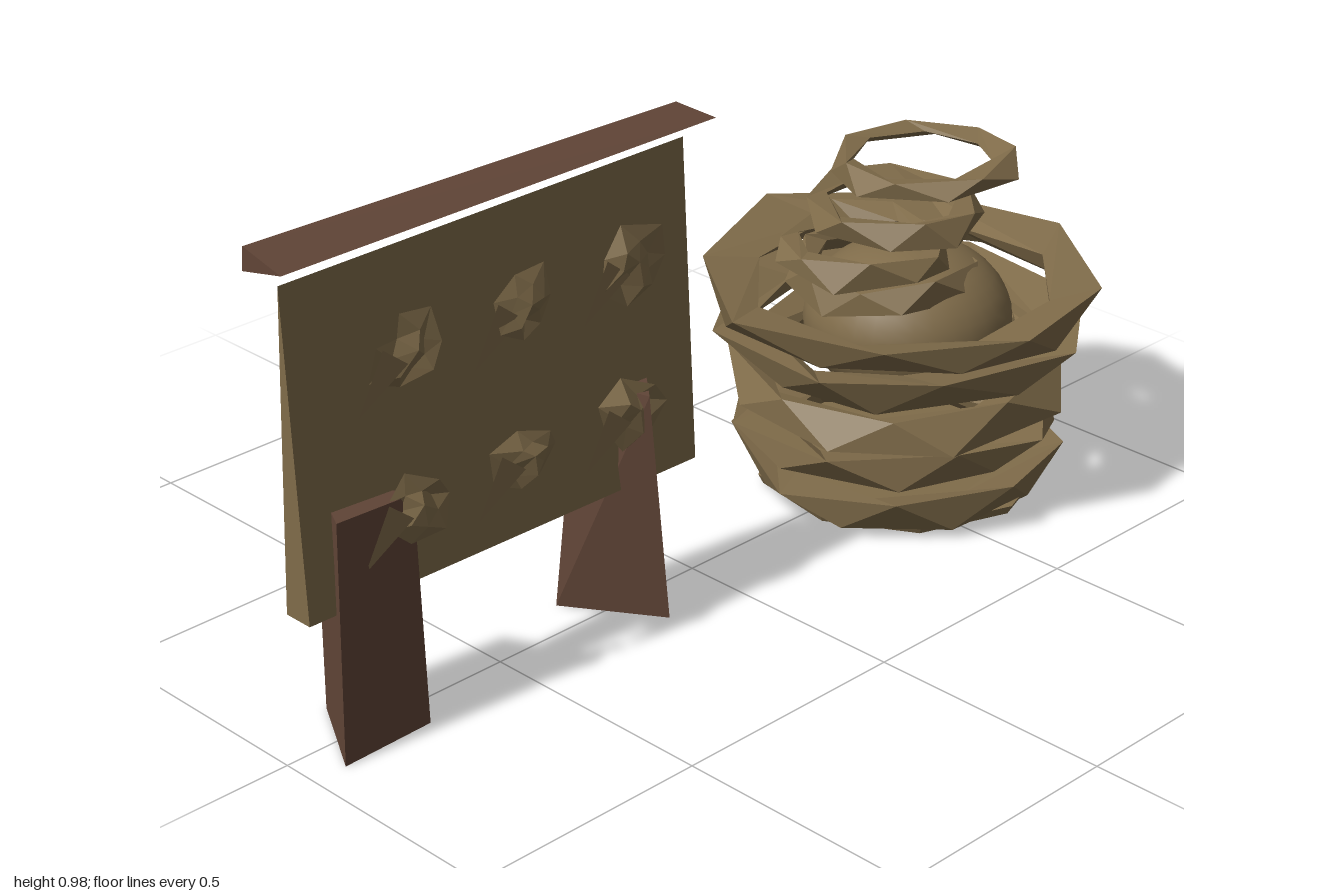
import * as THREE from 'three';

const olive = new THREE.MeshStandardMaterial({ color: 0x806c4a, side: THREE.DoubleSide });
olive.name = 'dry straw';
const brown = new THREE.MeshStandardMaterial({ color: 0x614537, side: THREE.DoubleSide });
brown.name = 'dark wood';

function seeded(seed) {
  let s = seed * 7919 + 17;
  return () => {
    s = (s * 16807) % 2147483647;
    return s / 2147483647;
  };
}

// Flat-shaded mesh from points and a face list.
function facetMesh(name, points, faces, material) {
  const g = new THREE.BufferGeometry();
  g.setAttribute('position', new THREE.Float32BufferAttribute(points.flat(), 3));
  g.setIndex(faces.flat());
  const flat = g.toNonIndexed();
  flat.computeVertexNormals();
  const mesh = new THREE.Mesh(flat, material);
  mesh.name = name;
  return mesh;
}

// Solid with a triangular section that changes from one end to the other.
function wedge(name, startTri, endTri, material) {
  const faces = [[0, 2, 1], [3, 4, 5]];
  for (let i = 0; i < 3; i++) {
    const j = (i + 1) % 3;
    faces.push([i, j, j + 3], [i, j + 3, i + 3]);
  }
  return facetMesh(name, [...startTri, ...endTri], faces, material);
}

// Uneven woven hoop with a three-cornered section.
function band(name, { x, z, low, high, rLow, rHigh, sides, seed, inner = 0.84 }) {
  const rnd = seeded(seed);
  const phase = rnd() * 6.28;
  const h = high - low;
  const points = [];
  const faces = [];
  const put = (a, r, y) => points.push([x + Math.cos(a) * r, y, z - Math.sin(a) * r]);
  for (let i = 0; i < sides; i++) {
    const step = (Math.PI * 2) / sides;
    const a = phase + (i + (rnd() - 0.5) * 0.3) * step;
    put(a, rLow * (0.95 + rnd() * 0.08), low + rnd() * h * 0.32);
    put(a + step * 0.45, rHigh * (0.95 + rnd() * 0.08), high - rnd() * h * 0.32);
    put(a + step * 0.2, Math.min(rLow, rHigh) * inner * (0.95 + rnd() * 0.1), low + h * (0.45 + rnd() * 0.25));
    const b = i * 3;
    const c = ((i + 1) % sides) * 3;
    for (let k = 0; k < 3; k++) {
      const m = (k + 1) % 3;
      faces.push([b + k, c + k, b + m], [c + k, c + m, b + m]);
    }
  }
  return facetMesh(name, points, faces, olive);
}

// Crumpled rosette with a pointed tail, fixed to the front of the board.
function rosette(x, y, seed) {
  const rnd = seeded(seed);
  const group = new THREE.Group();
  group.name = 'rosette';
  const n = 7;
  const points = [[0, 0.01, 0.02], [0, 0, -0.02]];
  const faces = [];
  for (let i = 0; i < n; i++) {
    const a = (i / n) * Math.PI * 2;
    const r = 0.75 + rnd() * 0.4;
    points.push([Math.cos(a) * 0.085 * r, Math.sin(a) * 0.072 * r, (rnd() - 0.5) * 0.03]);
    points.push([Math.cos(a + 0.4) * 0.045 * r, Math.sin(a + 0.4) * 0.038 * r, (rnd() - 0.3) * 0.03]);
  }
  for (let i = 0; i < n; i++) {
    const o = 2 + i * 2;
    const p = 2 + ((i + 1) % n) * 2;
    faces.push([o, p, o + 1], [o + 1, p, p + 1], [0, o + 1, p + 1], [1, p, o]);
  }
  group.add(facetMesh('petals', points, faces, olive));
  const tail = [[-0.12, -0.085, 0], [-0.02, -0.01, 0.015], [-0.07, 0.03, 0.01], [-0.05, 0, -0.015]];
  group.add(facetMesh('petalTail', tail, [[0, 1, 2], [0, 3, 1], [0, 2, 3], [1, 3, 2]], olive));
  group.position.set(x, y, 0.068);
  return group;
}

export function createModel() {
  const model = new THREE.Group();

  // Notice board
  const sign = new THREE.Group();
  sign.name = 'noticeBoard';
  sign.add(wedge('board',
    [[-0.965, 0.28, 0.04], [-0.965, 0.28, -0.022], [-0.97, 0.912, 0.01]],
    [[-0.032, 0.268, 0.04], [-0.032, 0.268, -0.022], [-0.035, 0.912, 0.01]], olive));
  sign.add(wedge('topRail',
    [[-1, 0.955, 0.06], [-1, 0.932, -0.043], [-1, 0.978, -0.038]],
    [[0, 0.953, 0.06], [0, 0.952, -0.043], [0, 0.956, -0.043]], brown));
  sign.add(wedge('rightPost',
    [[-0.93, 0, 0.075], [-0.73, 0, 0.07], [-0.83, 0, -0.1]],
    [[-0.92, 0.475, 0.07], [-0.745, 0.465, 0.065], [-0.83, 0.47, -0.1]], brown));
  sign.add(wedge('leftPost',
    [[-0.165, 0, 0.105], [-0.08, 0, -0.05], [-0.285, 0, -0.08]],
    [[-0.205, 0.475, 0.095], [-0.085, 0.47, -0.045], [-0.235, 0.47, -0.07]], brown));

  // Two rows of rosettes
  [0.735, 0.44].forEach((y, row) => {
    [-0.74, -0.48, -0.22].forEach((x, col) => sign.add(rosette(x, y, row * 3 + col + 2)));
  });
  model.add(sign);

  // Basket wall
  const basket = new THREE.Group();
  basket.name = 'basket';
  const wall = [
    [0.01, 0.105, 0.305, 0.34],
    [0.105, 0.195, 0.325, 0.345],
    [0.2, 0.3, 0.355, 0.34],
    [0.285, 0.38, 0.335, 0.385],
    [0.365, 0.48, 0.375, 0.415],
  ];
  wall.forEach(([low, high, rLow, rHigh], i) => basket.add(band('wallBand',
    { x: 0.585, z: 0, low, high, rLow, rHigh, sides: 8, seed: 11 + i * 5 })));

  // Base disc
  const base = new THREE.CylinderGeometry(0.3, 0.29, 0.02, 9).toNonIndexed();
  base.computeVertexNormals();
  const floor = new THREE.Mesh(base, olive);
  floor.name = 'basketBase';
  floor.position.set(0.6, 0.014, 0);
  basket.add(floor);

  // Smooth mound inside
  const mound = new THREE.Mesh(new THREE.SphereGeometry(1, 32, 20), olive);
  mound.name = 'mound';
  mound.scale.set(0.21, 0.16, 0.21);
  mound.position.set(0.6, 0.35, 0.01);
  basket.add(mound);

  // Loose hoops climbing above the mound
  const hoops = [
    [0.55, 0.42, 0.5, 0.2],
    [0.49, 0.495, 0.56, 0.18],
    [0.575, 0.555, 0.625, 0.185],
    [0.67, 0.63, 0.69, 0.195],
  ];
  hoops.forEach(([x, low, high, r], i) => basket.add(band('looseHoop',
    { x, z: -0.015, low, high, rLow: r, rHigh: r * 0.92, sides: 7, seed: 43 + i * 3, inner: 0.78 })));
  model.add(basket);

  return model;
}
